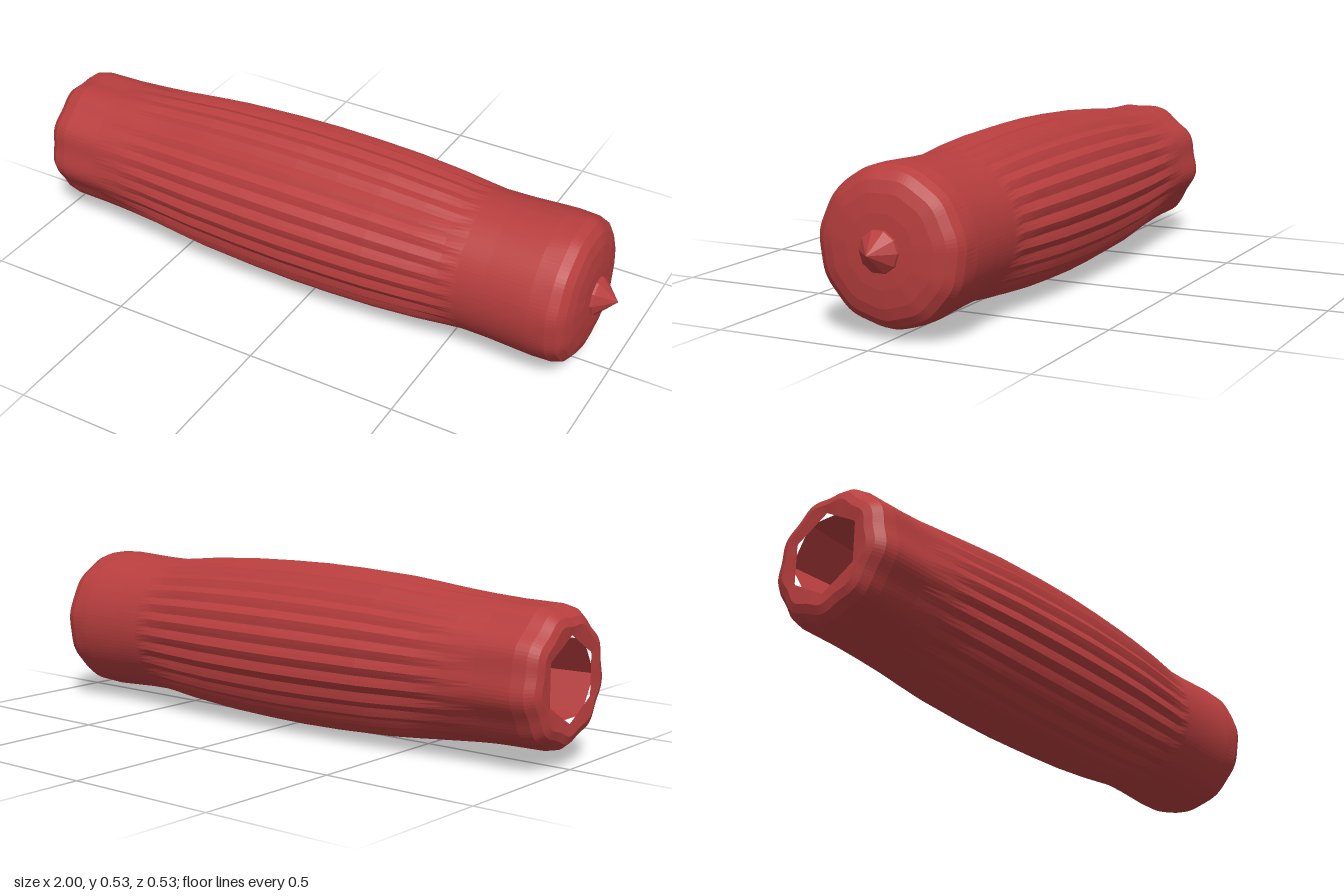
import * as THREE from 'three';

const AXIS_Y = 0.264;

// Lathe laid along x; rule(x, radius, angle) returns the reshaped radius
function latheAlongX(profile, segments, rule) {
  const points = profile.map(([x, r]) => new THREE.Vector2(r, x));
  const geo = new THREE.LatheGeometry(points, segments);
  const pos = geo.attributes.position;
  for (let i = 0; i < pos.count; i++) {
    const r = Math.hypot(pos.getX(i), pos.getZ(i));
    if (r < 1e-6) continue;
    const a = Math.atan2(pos.getZ(i), pos.getX(i));
    const k = rule(pos.getY(i), r, a) / r;
    pos.setXYZ(i, pos.getX(i) * k, pos.getY(i), pos.getZ(i) * k);
  }
  geo.rotateZ(-Math.PI / 2);
  geo.computeVertexNormals();
  return geo;
}

export function createModel() {
  const group = new THREE.Group();
  group.name = 'handle';
  const red = new THREE.MeshStandardMaterial({ color: 0xb83e3e, flatShading: true });
  red.name = 'red grip';

  const add = (name, geo) => {
    const mesh = new THREE.Mesh(geo, red);
    mesh.name = name;
    mesh.position.y = AXIS_Y;
    group.add(mesh);
  };

  // Swelling grip: shallow flutes in the middle, soft lobes at both ends
  const gripProfile = [
    [-0.995, 0.13], [-1, 0.165], [-0.99, 0.19], [-0.965, 0.21], [-0.925, 0.219],
    [-0.8, 0.221], [-0.7, 0.226], [-0.6, 0.233], [-0.5, 0.243], [-0.4, 0.252],
    [-0.2, 0.261], [-0.05, 0.264], [0.1, 0.262], [0.25, 0.257], [0.4, 0.246],
    [0.5, 0.235], [0.56, 0.229], [0.65, 0.23], [0.8, 0.237], [0.86, 0.236],
    [0.89, 0.225], [0.91, 0.2], [0.922, 0.165], [0.93, 0.11], [0.935, 0],
  ];
  const smooth = THREE.MathUtils.smoothstep;
  const hexagon = (a) => {
    const step = Math.PI / 3;
    const local = ((a % step) + step) % step - step / 2;
    return Math.cos(step / 2) / Math.cos(local);
  };
  add('grip', latheAlongX(gripProfile, 112, (x, r, a) => {
    if (x < -0.9 && r < 0.14) return r * hexagon(a);
    const flute = smooth(x, -0.8, -0.5) * (1 - smooth(x, 0.45, 0.57));
    const leftLobe = 1 - smooth(x, -0.85, -0.6);
    const rightLobe = smooth(x, 0.8, 0.89);
    return r - flute * 0.005 * (1 - Math.cos(28 * a))
      - leftLobe * 0.005 * (1 - Math.cos(9 * a))
      - rightLobe * 0.002 * (1 - Math.cos(11 * a));
  }));

  // Six-sided socket sunk into the open end
  add('socket', latheAlongX([[-0.78, 0], [-0.78, 0.115], [-0.995, 0.13]], 6,
    (x, r) => r));

  // Small faceted point on the closed end
  add('tip', latheAlongX([[0.928, 0.064], [0.94, 0.062], [1, 0]], 10, (x, r) => r));

  return group;
}
